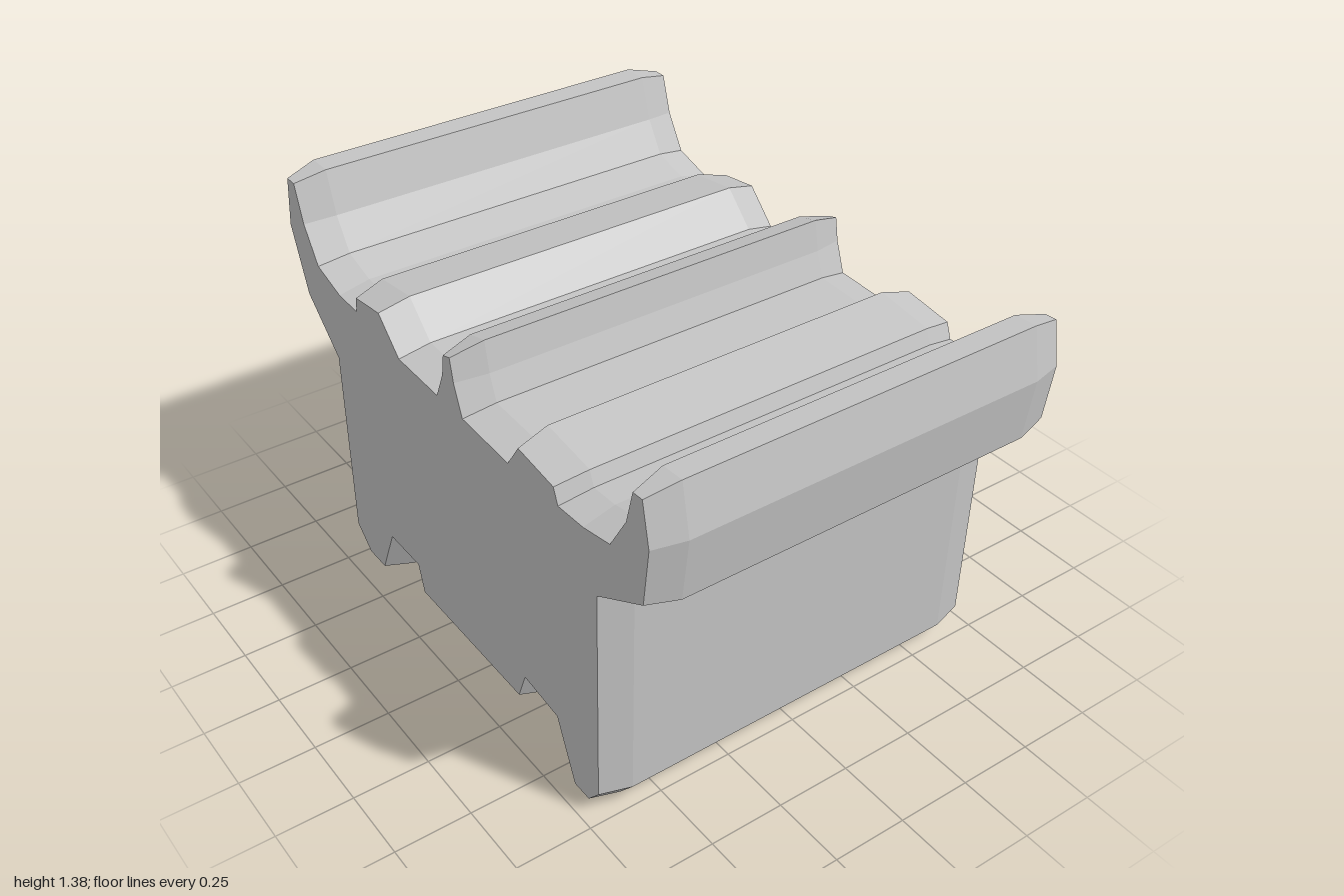
import * as THREE from 'three';

// Outer cross-section, counter-clockwise from the right foot
const PROFILE = [
  // right side wall and flared horn
  [0.684, 0], [0.749, 0.077], [0.765, 0.832], [0.973, 0.947], [1, 1.155],
  [0.968, 1.32], [0.888, 1.315], [0.855, 1.192], [0.79, 1.086],
  // right raised strip
  [0.68, 1.064], [0.582, 1.059], [0.564, 1.107], [0.362, 1.134], [0.302, 1.048],
  // centre ridge
  [0.092, 1.057], [0.062, 1.14], [0.043, 1.24], [-0.034, 1.22], [-0.05, 1.135], [-0.085, 1.059],
  // left raised strip
  [-0.283, 1.064], [-0.392, 1.171], [-0.567, 1.148], [-0.575, 1.1], [-0.66, 1.103],
  // left horn and side wall
  [-0.782, 1.139], [-0.846, 1.245], [-0.888, 1.385], [-0.973, 1.385], [-1, 1.187],
  [-0.92, 0.957], [-0.754, 0.805], [-0.762, 0.128],
  // left foot, notch, centre belly, notch, right foot
  [-0.668, 0.043], [-0.545, 0.043], [-0.46, 0.225], [-0.32, 0.225], [-0.294, 0.128],
  [0.318, 0.123], [0.358, 0.225], [0.498, 0.208], [0.583, 0],
];

export function createModel() {
  const group = new THREE.Group();
  group.name = 'slottedBlock';

  const grey = new THREE.MeshStandardMaterial({ color: 0xc4c4c4 });
  grey.name = 'grey';

  // Extruded along z, with the ends chamfered inward
  const shape = new THREE.Shape(PROFILE.map(([x, y]) => new THREE.Vector2(x, y)));
  const geometry = new THREE.ExtrudeGeometry(shape, {
    depth: 1.2,
    bevelEnabled: true,
    bevelThickness: 0.103,
    bevelSize: 0.025,
    bevelOffset: -0.025,
    bevelSegments: 1,
  });
  geometry.translate(0, 0, -0.6);

  const body = new THREE.Mesh(geometry, grey);
  body.name = 'body';
  group.add(body);
  return group;
}
